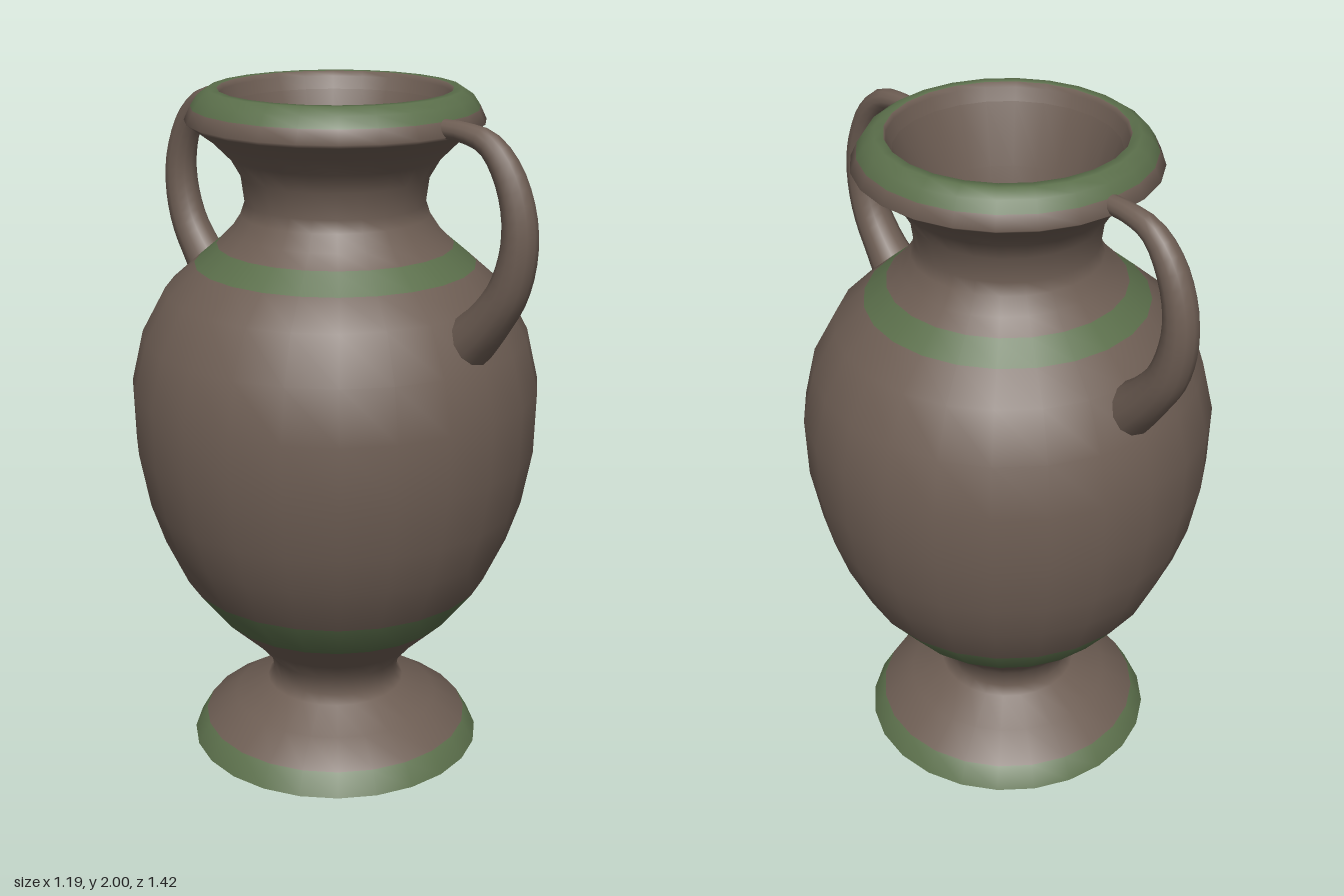
import * as THREE from 'three';

const clay = new THREE.MeshStandardMaterial({ color: 0x6e5e54 });
const green = new THREE.MeshStandardMaterial({ color: 0x5b6f4b });

// Profile from the underside, up the outside, over the lip and down into the neck.
// [radius, height, colour of the stretch that follows: 1 = green]; a doubled point is a hard edge.
const PROFILE = [
  [0, 0], [0.44, 0], [0.44, 0, 1], [0.403, 0.065], [0.31, 0.125], [0.21, 0.18], [0.19, 0.205],
  [0.2, 0.265], [0.255, 0.33], [0.36, 0.43, 1], [0.455, 0.55], [0.52, 0.69], [0.56, 0.81],
  [0.59, 0.97], [0.595, 1.15], [0.56, 1.3], [0.49, 1.43], [0.405, 1.505, 1], [0.34, 1.56],
  [0.3, 1.6], [0.27, 1.645], [0.258, 1.68], [0.268, 1.755], [0.3, 1.81], [0.35, 1.86],
  [0.405, 1.9], [0.405, 1.9], [0.423, 1.912], [0.405, 1.95, 1], [0.385, 1.98, 1], [0.355, 2, 1],
  [0.33, 2], [0.325, 1.985], [0.31, 1.95], [0.31, 1.95], [0.25, 1.78], [0.23, 1.65],
  [0.23, 1.65], [0, 1.65],
];
const SIDES = 24;

// Keeps only the lathe rows of one colour, so normals stay smooth across the painted bands
function vesselPart(name, band, material) {
  const geometry = new THREE.LatheGeometry(PROFILE.map(([r, y]) => new THREE.Vector2(r, y)), SIDES);
  const rows = PROFILE.length - 1;
  const source = geometry.index.array;
  const kept = [];
  for (let i = 0; i < SIDES; i++) {
    for (let j = 0; j < rows; j++) {
      if ((PROFILE[j][2] || 0) !== band) continue;
      const start = (i * rows + j) * 6;
      kept.push(...source.slice(start, start + 6));
    }
  }
  geometry.setIndex(kept);
  const mesh = new THREE.Mesh(geometry, material);
  mesh.name = name;
  return mesh;
}

// Handle: [z, y, radius] along the centre line from the lip to the shoulder
const HANDLE = [
  [0.38, 1.93, 0.026], [0.47, 1.928, 0.028], [0.55, 1.908, 0.034], [0.615, 1.84, 0.042],
  [0.655, 1.74, 0.047], [0.66, 1.64, 0.051], [0.63, 1.53, 0.056], [0.57, 1.44, 0.062],
  [0.5, 1.365, 0.076], [0.46, 1.325, 0.078],
];

function handleGeometry() {
  const curve = new THREE.CatmullRomCurve3(HANDLE.map(([z, y]) => new THREE.Vector3(0, y, z)));
  const steps = 24, around = 12;
  const tube = new THREE.TubeGeometry(curve, steps, 1, around);
  const pos = tube.attributes.position;
  const v = new THREE.Vector3();
  for (let i = 0; i <= steps; i++) {
    // Taper each ring to the radius at this point of the path
    const centre = curve.getPointAt(i / steps);
    const t = curve.getUtoTmapping(i / steps) * (HANDLE.length - 1);
    const k = Math.min(Math.floor(t), HANDLE.length - 2);
    const radius = THREE.MathUtils.lerp(HANDLE[k][2], HANDLE[k + 1][2], t - k);
    for (let j = 0; j <= around; j++) {
      const n = i * (around + 1) + j;
      v.fromBufferAttribute(pos, n).sub(centre).multiplyScalar(radius).add(centre);
      pos.setXYZ(n, v.x, v.y, v.z);
    }
  }
  return tube;
}

export function createModel() {
  const vase = new THREE.Group();
  vase.name = 'vase';
  vase.add(vesselPart('vessel', 0, clay), vesselPart('paintedBands', 1, green));

  // One handle in front, one behind
  const geometry = handleGeometry();
  ['frontHandle', 'backHandle'].forEach((name, i) => {
    const handle = new THREE.Mesh(geometry, clay);
    handle.name = name;
    handle.rotation.y = i * Math.PI;
    vase.add(handle);
  });
  return vase;
}
